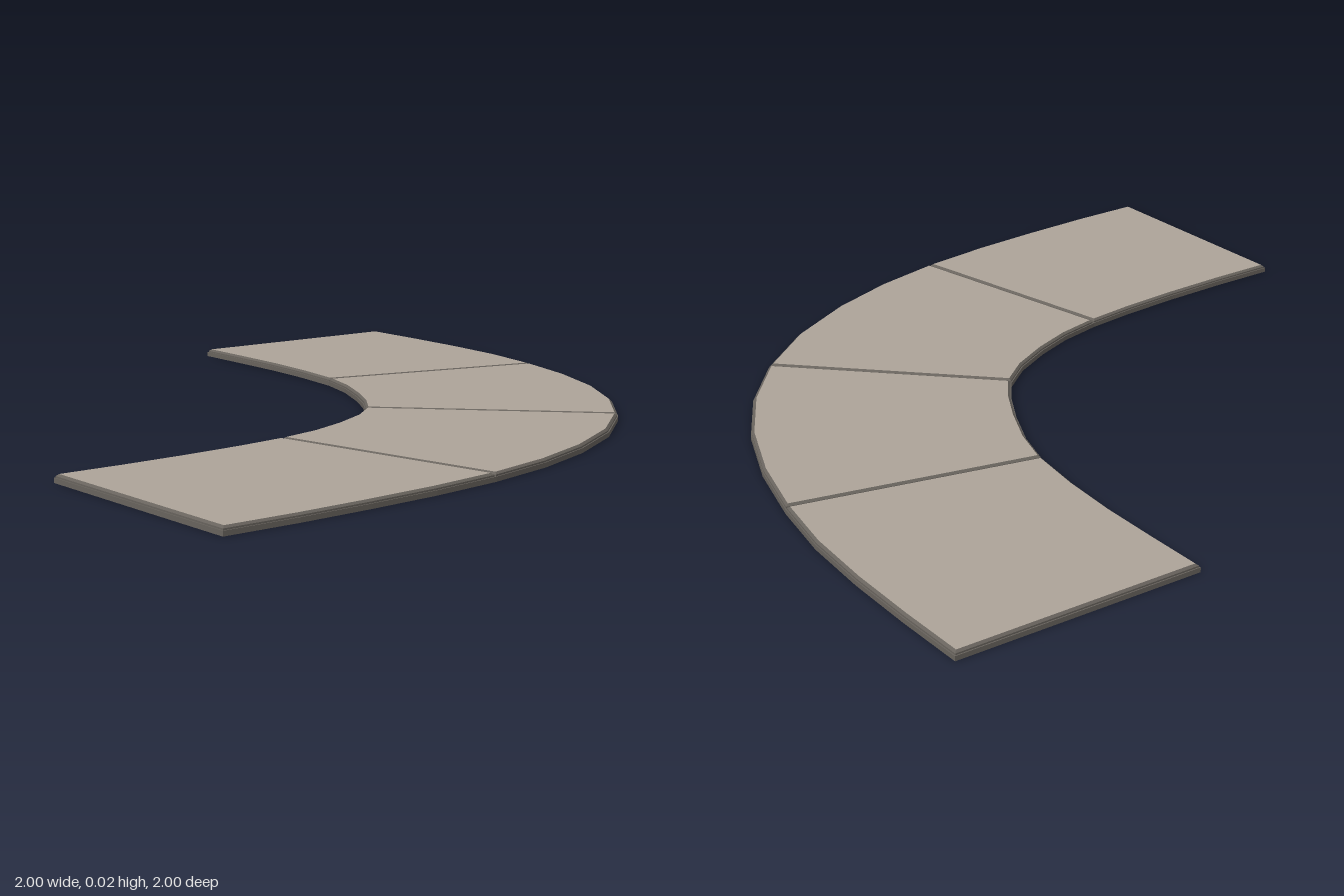
import * as THREE from 'three';

const slabTop = new THREE.MeshStandardMaterial({ color: 0xada499 });
slabTop.name = 'pale stone';
const edgeStone = new THREE.MeshStandardMaterial({ color: 0x68635d });
edgeStone.name = 'dark stone';

// Outer and inner kerb of the bend as [x, z]; every fourth point is a joint
const outer = [[-1, -1], [-0.8, -1], [-0.6, -0.995], [-0.4, -0.98], [-0.205, -0.945],
  [0, -0.89], [0.2, -0.81], [0.385, -0.7], [0.55, -0.56], [0.695, -0.385], [0.805, -0.19],
  [0.88, 0], [0.932, 0.2], [0.963, 0.4], [0.982, 0.6], [0.995, 0.8], [1, 1]];
const inner = [[-1, -0.343], [-0.83, -0.341], [-0.66, -0.337], [-0.5, -0.325], [-0.34, -0.302],
  [-0.22, -0.265], [-0.1, -0.21], [0, -0.155], [0.085, -0.095], [0.155, -0.01], [0.215, 0.1],
  [0.26, 0.21], [0.29, 0.33], [0.31, 0.47], [0.325, 0.64], [0.334, 0.82], [0.337, 1]];

// Clockwise outline of the bend between two point indices, in shape space (x, -z)
function outline(from, to) {
  const far = outer.slice(from, to + 1);
  const near = inner.slice(from, to + 1).reverse();
  return [...far, ...near].map(([x, z]) => new THREE.Vector2(x, -z));
}

// Mitred inset of a clockwise outline
function inset(points, d) {
  const n = points.length;
  return points.map((p, i) => {
    const a = p.clone().sub(points[(i + n - 1) % n]).normalize();
    const b = points[(i + 1) % n].clone().sub(p).normalize();
    const na = new THREE.Vector2(a.y, -a.x);
    const nb = new THREE.Vector2(b.y, -b.x);
    return p.clone().addScaledVector(na.clone().add(nb), d / (1 + na.dot(nb)));
  });
}

// Faceted band joining outlines stacked at rising heights
function bandGeometry(rings) {
  const pos = [];
  for (let r = 0; r < rings.length - 1; r++) {
    const [lo, hi] = [rings[r], rings[r + 1]];
    const n = lo.points.length;
    for (let i = 0; i < n; i++) {
      const j = (i + 1) % n;
      const at = (ring, k) => [ring.points[k].x, ring.y, -ring.points[k].y];
      const [a, b, c, d] = [at(lo, i), at(hi, i), at(hi, j), at(lo, j)];
      pos.push(...a, ...b, ...c, ...a, ...c, ...d);
    }
  }
  const g = new THREE.BufferGeometry();
  g.setAttribute('position', new THREE.Float32BufferAttribute(pos, 3));
  g.computeVertexNormals();
  return g;
}

function add(parent, name, geometry, material) {
  const mesh = new THREE.Mesh(geometry, material);
  mesh.name = name;
  parent.add(mesh);
}

export function createModel() {
  const group = new THREE.Group();
  group.name = 'curvedPath';

  // Continuous bed, visible in the joints and underneath
  const bed = new THREE.ExtrudeGeometry(new THREE.Shape(outline(0, 16)),
    { depth: 0.012, bevelEnabled: false });
  bed.rotateX(-Math.PI / 2);
  add(group, 'bed', bed, edgeStone);

  // Four paving slabs with bevelled rims
  for (let s = 0; s < 4; s++) {
    const slab = new THREE.Group();
    slab.name = 'slab' + (s + 1);
    const base = outline(s * 4, s * 4 + 4);
    const top = inset(base, 0.009);
    add(slab, 'slabRim', bandGeometry([
      { points: inset(base, 0.003), y: 0.011 },
      { points: inset(base, 0.003), y: 0.016 },
      { points: top, y: 0.021 },
    ]), edgeStone);
    const cap = new THREE.ShapeGeometry(new THREE.Shape(top));
    cap.rotateX(-Math.PI / 2);
    cap.translate(0, 0.021, 0);
    add(slab, 'slabFace', cap, slabTop);
    group.add(slab);
  }
  return group;
}
